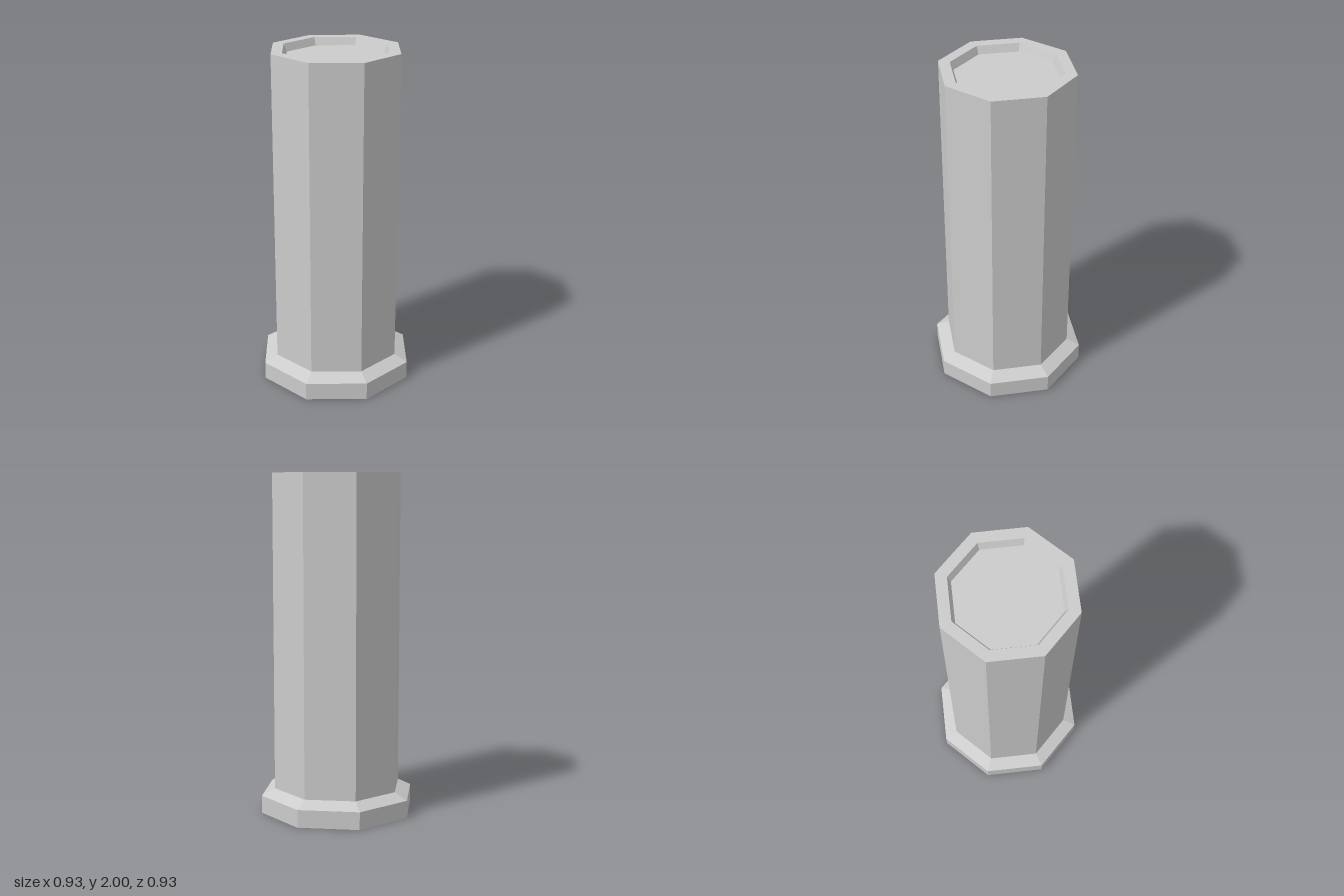
import * as THREE from 'three';

const material = new THREE.MeshStandardMaterial({ color: 0xcccccc, flatShading: true });

// Eight-sided turned part from [radius, height] pairs, corners on the x and z axes
function octagonalPart(name, profile) {
  const points = profile.map(([r, y]) => new THREE.Vector2(r, y));
  const mesh = new THREE.Mesh(new THREE.LatheGeometry(points, 8), material);
  mesh.name = name;
  return mesh;
}

export function createModel() {
  const group = new THREE.Group();
  group.name = 'octagonalPost';

  // Foot flange: flat underside, short wall, chamfer up to the shaft
  group.add(octagonalPart('baseFlange', [[0, 0], [0.466, 0], [0.466, 0.104], [0.386, 0.144]]));

  // Straight shaft
  group.add(octagonalPart('shaft', [[0.386, 0.144], [0.387, 2]]));

  // Top rim with a shallow recess and its floor
  group.add(octagonalPart('recessedTop', [[0.387, 2], [0.32, 2], [0.301, 1.955], [0, 1.955]]));

  return group;
}
